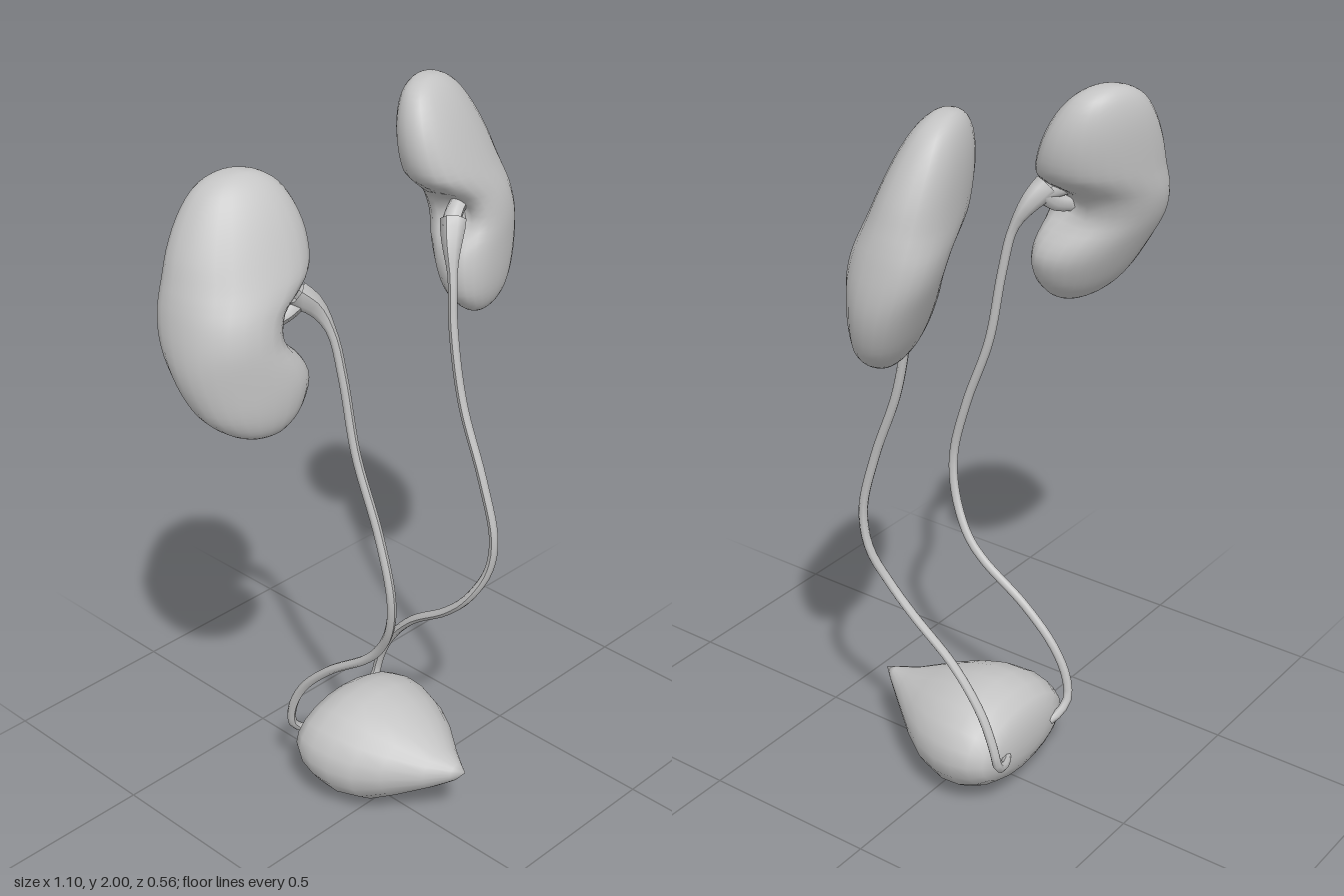
import * as THREE from 'three';
import { mergeVertices } from 'three/addons/utils/BufferGeometryUtils.js';

const V = (x, y, z) => new THREE.Vector3(x, y, z);
const bump = (v, centre, width) => Math.exp(-(((v - centre) / width) ** 2));

// Smooth skin over a list of rings with equal point counts
function loft(rings) {
  const n = rings[0].length, index = [];
  for (let i = 0; i < rings.length - 1; i++) {
    for (let j = 0; j < n; j++) {
      const k = (j + 1) % n, a = i * n + j, b = i * n + k;
      index.push(a, a + n, b, b, a + n, b + n);
    }
  }
  const geo = new THREE.BufferGeometry().setFromPoints(rings.flat());
  geo.setIndex(index);
  const merged = mergeVertices(geo, 1e-5);
  merged.computeVertexNormals();
  return merged;
}

// Bean outline from bottom to top: inner x, outer x, y
const BEAN = [
  [0.388, 0.388, 1.378], [0.34, 0.43, 1.385], [0.305, 0.475, 1.41], [0.275, 0.513, 1.45],
  [0.265, 0.538, 1.51], [0.275, 0.549, 1.57], [0.298, 0.547, 1.63], [0.283, 0.537, 1.69],
  [0.232, 0.526, 1.735], [0.197, 0.515, 1.77], [0.182, 0.494, 1.83], [0.188, 0.457, 1.9],
  [0.215, 0.41, 1.96], [0.255, 0.36, 1.99], [0.305, 0.305, 2.0],
].map(p => V(...p));

const rounded = v => Math.sign(v) * Math.pow(Math.abs(v), 0.9);

function kidneyGeometry({ side, drop, lobe, depth, shear, zMid, zTilt }) {
  const rings = new THREE.CatmullRomCurve3(BEAN).getPoints(42).map(({ x, y: outer, z: y }) => {
    const u = THREE.MathUtils.clamp((y - 1.689) / 0.311, -1, 1);
    const half = depth * Math.pow(1 - u * u, 0.42) * (1 + 0.12 * bump(y, 1.67, 0.11));
    // Fuller lower lobe where wanted
    const inner = x - lobe * bump(y, 1.515, 0.07) * (1 - u * u);
    const cx = (inner + outer) / 2, a = (outer - inner) / 2;
    const ring = [];
    for (let j = 0; j < 24; j++) {
      const t = j / 24 * Math.PI * 2;
      let px = cx + a * rounded(Math.cos(t));
      const dz = half * rounded(Math.sin(t));
      // Hollow of the hilum on the inner side, turned to the front
      if (px < cx) px += 0.04 * bump(y, 1.655, 0.055) * bump(dz, 0.03, 0.045);
      // The organ lies in one slanted plane
      ring.push(V(side * px, y - drop, zMid + zTilt * u + dz - shear * (px - 0.39)));
    }
    return ring;
  });
  if (side < 0) rings.reverse();
  return loft(rings);
}

// Tube whose radius follows a rule along its length
function taperedTube(points, radius, steps, sides) {
  const curve = new THREE.CatmullRomCurve3(points.map(p => V(...p)));
  const geo = new THREE.TubeGeometry(curve, steps, 1, sides);
  const pos = geo.attributes.position, p = V(0, 0, 0);
  for (let i = 0; i < pos.count; i++) {
    const t = Math.floor(i / (sides + 1)) / steps;
    const c = curve.getPointAt(t);
    p.fromBufferAttribute(pos, i).sub(c).multiplyScalar(radius(t)).add(c);
    pos.setXYZ(i, p.x, p.y, p.z);
  }
  geo.computeVertexNormals();
  return geo;
}

// Bladder sections from the pointed front to the back: z, half width, bottom y, top y
function bladderGeometry() {
  const sections = [
    [0.282, 0, 0.21, 0.21], [0.25, 0.025, 0.17, 0.22], [0.19, 0.072, 0.123, 0.234],
    [0.1, 0.145, 0.062, 0.272], [0.03, 0.188, 0.018, 0.298], [-0.04, 0.211, 0.002, 0.314],
    [-0.1, 0.216, 0.012, 0.312], [-0.15, 0.207, 0.038, 0.295], [-0.185, 0.185, 0.068, 0.27],
    [-0.203, 0.14, 0.1, 0.24], [-0.21, 0.07, 0.13, 0.2], [-0.212, 0, 0.165, 0.165],
  ];
  return loft(sections.map(([z, w, low, high]) => {
    const ring = [];
    for (let j = 0; j < 20; j++) {
      const t = j / 20 * Math.PI * 2;
      ring.push(V(0.026 + w * Math.cos(t), (low + high) / 2 + (high - low) / 2 * Math.sin(t), z));
    }
    return ring;
  }));
}

export function createModel() {
  const group = new THREE.Group();
  const tissue = new THREE.MeshStandardMaterial({ color: 0xc4c4c4 });
  const add = (name, geo) => {
    const mesh = new THREE.Mesh(geo, tissue);
    mesh.name = name;
    group.add(mesh);
  };

  add('bladder', bladderGeometry());

  // Kidneys, the right one lower, deeper and fuller
  add('leftKidney', kidneyGeometry({
    side: 1, drop: 0, lobe: 0, depth: 0.106, shear: 0.2, zMid: -0.097, zTilt: -0.07,
  }));
  add('rightKidney', kidneyGeometry({
    side: -1, drop: 0.09, lobe: 0.028, depth: 0.12, shear: 0.27, zMid: -0.127, zTilt: -0.08,
  }));

  // Ureters, from the back of the bladder up to the hilum, widening at the top
  const ureterRadius = t => 0.0125 + 0.022 * THREE.MathUtils.smoothstep(t, 0.91, 1);
  add('leftUreter', taperedTube([
    [0.12, 0.165, -0.2], [0.16, 0.17, -0.222], [0.205, 0.19, -0.233], [0.213, 0.25, -0.222], [0.21, 0.34, -0.18],
    [0.202, 0.45, -0.085], [0.192, 0.55, 0.055], [0.195, 0.62, 0.125], [0.215, 0.72, 0.178], [0.216, 0.83, 0.195],
    [0.21, 1.0, 0.155], [0.208, 1.2, 0.082], [0.212, 1.4, 0.042], [0.225, 1.52, 0.025],
    [0.248, 1.595, 0], [0.285, 1.65, -0.03],
  ], ureterRadius, 64, 7));
  add('rightUreter', taperedTube([
    [-0.08, 0.165, -0.2], [-0.11, 0.18, -0.212], [-0.14, 0.21, -0.218], [-0.15, 0.27, -0.208], [-0.147, 0.36, -0.165],
    [-0.142, 0.46, -0.07], [-0.136, 0.56, 0.065], [-0.138, 0.62, 0.12], [-0.158, 0.72, 0.175], [-0.172, 0.83, 0.192],
    [-0.174, 1.0, 0.15], [-0.18, 1.2, 0.08], [-0.187, 1.4, 0.045], [-0.198, 1.52, 0.02],
    [-0.22, 1.585, -0.01], [-0.265, 1.63, -0.035],
  ], ureterRadius, 64, 7));

  // Branches of the renal pelvis reaching into each hilum
  for (const [name, side, x, y, z] of [['left', 1, 0.27, 1.63, -0.025], ['right', -1, 0.25, 1.615, -0.03]]) {
    for (const [dy, dz] of [[0.065, -0.03], [0.005, -0.04], [-0.05, -0.03]]) {
      add(name + 'PelvisBranch', taperedTube([
        [side * (x - 0.005), y, z], [side * (x + 0.035), y + dy * 0.65, z + dz * 0.5],
        [side * (x + 0.09), y + dy, z + dz],
      ], t => 0.025 - 0.003 * t, 8, 7));
    }
  }
  return group;
}
